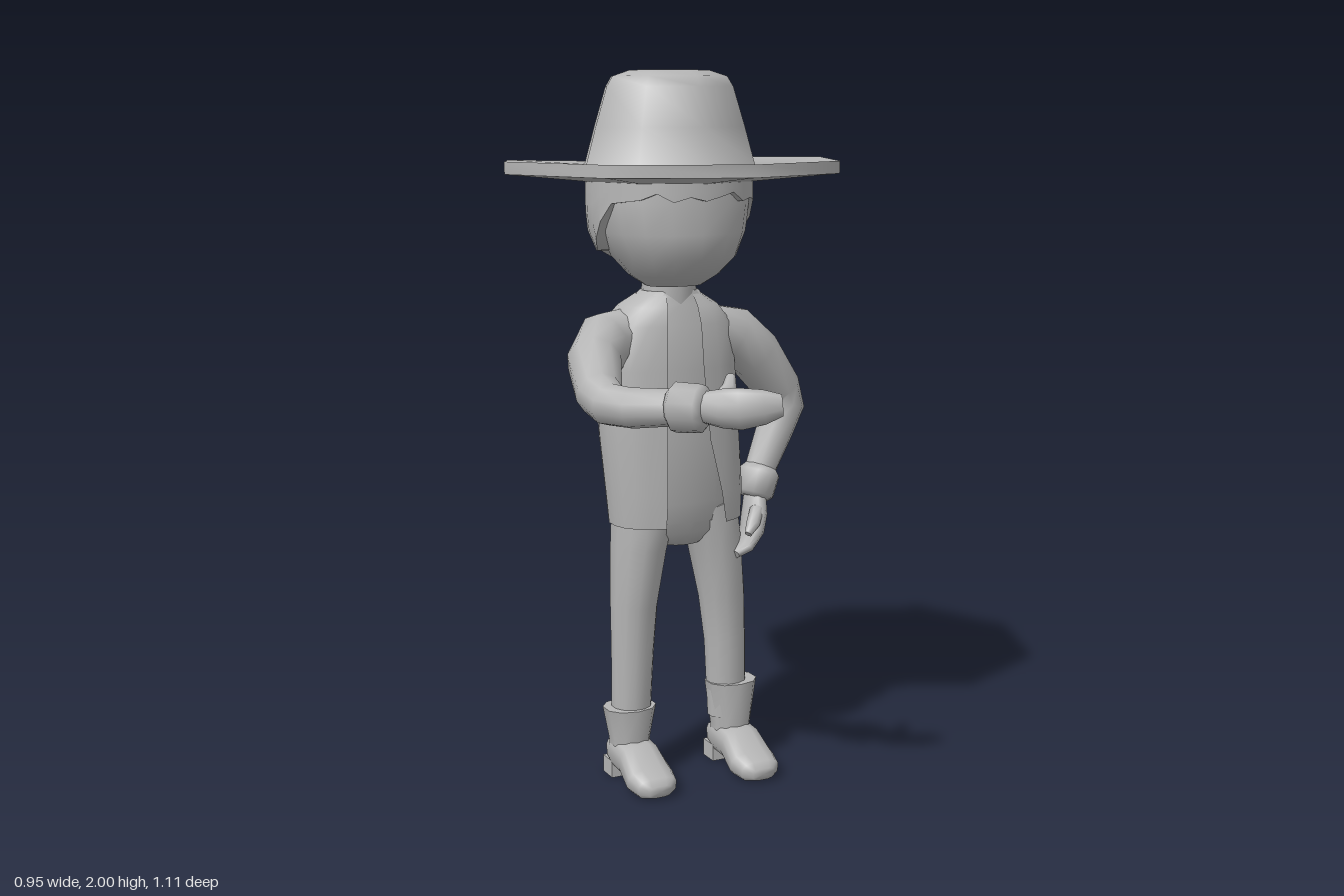
import * as THREE from 'three';
import { mergeVertices, toCreasedNormals } from 'three/addons/utils/BufferGeometryUtils.js';

const clay = new THREE.MeshStandardMaterial({ color: 0xb6b6b6, side: THREE.DoubleSide });
clay.name = 'grey clay';

const V = (x, y, z) => new THREE.Vector3(x, y, z);
const pow = (s, p) => Math.sign(s) * Math.abs(s) ** p;

function part(group, name, geo, crease = 1.15) {
  const mesh = new THREE.Mesh(toCreasedNormals(geo, crease), clay);
  mesh.name = name;
  group.add(mesh);
  return mesh;
}

// Skin a list of rings (arrays of Vector3, counter-clockwise about the loft direction)
function loft(rings, { closed = true, caps = true } = {}) {
  const n = rings[0].length, pos = [], idx = [];
  rings.forEach(r => r.forEach(p => pos.push(p.x, p.y, p.z)));
  for (let i = 0; i < rings.length - 1; i++) {
    for (let j = 0; j < (closed ? n : n - 1); j++) {
      const a = i * n + j, b = i * n + (j + 1) % n;
      idx.push(a, b, b + n, a, b + n, a + n);
    }
  }
  if (caps) {
    [0, rings.length - 1].forEach((r, end) => {
      const c = rings[r].reduce((s, p) => s.add(p), V(0, 0, 0)).divideScalar(n);
      const k = pos.length / 3;
      pos.push(c.x, c.y, c.z);
      for (let j = 0; j < n; j++) {
        const a = r * n + j, b = r * n + (j + 1) % n;
        idx.push(k, end ? a : b, end ? b : a);
      }
    });
  }
  const g = new THREE.BufferGeometry();
  g.setAttribute('position', new THREE.Float32BufferAttribute(pos, 3));
  g.setIndex(idx);
  return g;
}

// Horizontal rings: rows of [y, centre x, centre z, radius x, radius z]
function stack(rows, n = 14, p = 1) {
  return loft(rows.map(([y, cx, cz, rx, rz]) => Array.from({ length: n }, (_, j) => {
    const a = j / n * Math.PI * 2;
    return V(cx + rx * pow(Math.sin(a), p), y, cz + rz * pow(Math.cos(a), p));
  })));
}

// Tube along points [x, y, z, radius a, radius b]
function limb(rows, { hint = V(0, 0, 1), n = 10, p = 1 } = {}) {
  const pts = rows.map(r => V(r[0], r[1], r[2]));
  return loft(rows.map((r, i) => {
    const t = pts[Math.min(i + 1, pts.length - 1)].clone().sub(pts[Math.max(i - 1, 0)]).normalize();
    const s = t.clone().cross(hint).normalize(), o = t.clone().cross(s);
    return Array.from({ length: n }, (_, j) => {
      const a = (j + 0.5) / n * Math.PI * 2;
      return pts[i].clone().addScaledVector(s, r[3] * pow(Math.cos(a), p))
        .addScaledVector(o, (r[4] ?? r[3]) * pow(Math.sin(a), p));
    });
  }));
}

function buildHat(g) {
  const profile = [[0, 1.705], [0.22, 1.705], [0.475, 1.73], [0.475, 1.763], [0.26, 1.735],
    [0.243, 1.752], [0.215, 1.85], [0.182, 1.955], [0.165, 1.982], [0.115, 1.998], [0, 2]];
  let geo = new THREE.LatheGeometry(profile.map(q => new THREE.Vector2(...q)), 8);
  geo.deleteAttribute('normal');
  geo.deleteAttribute('uv');
  geo = mergeVertices(geo);
  // the brim droops a little at the back
  const pos = geo.attributes.position;
  for (let i = 0; i < pos.count; i++) {
    const z = pos.getZ(i);
    if (z < -0.25 && pos.getY(i) < 1.8) pos.setY(i, pos.getY(i) - (-z - 0.25) * 0.09);
  }
  geo.translate(0, 0, -0.08);
  part(g, 'hat', geo, 1.3);
}

function buildHead(g) {
  part(g, 'neck', stack([[1.36, 0, -0.085, 0.085, 0.08], [1.42, 0, -0.08, 0.075, 0.075], [1.52, 0, -0.08, 0.085, 0.08]], 12));
  part(g, 'head', stack([
    [1.425, 0, -0.05, 0.08, 0.06], [1.455, 0, -0.05, 0.125, 0.11], [1.505, 0, -0.05, 0.168, 0.168],
    [1.57, 0, -0.055, 0.198, 0.18], [1.65, 0, -0.06, 0.212, 0.186], [1.74, 0, -0.06, 0.205, 0.18]], 16, 0.92));

  // Hair shell whose lower edge runs from the fringe down to the nape
  const edge = [[0, 1.672], [0.6, 1.668], [1.2, 1.652], [1.5, 1.57], [1.8, 1.515], [2.2, 1.52], [2.7, 1.475], [3.15, 1.465]];
  const edgeAt = a => {
    const k = edge.findIndex(e => e[0] > a), [a0, y0] = edge[k - 1], [a1, y1] = edge[k];
    return y0 + (y1 - y0) * (a - a0) / (a1 - a0);
  };
  const n = 32;
  const row = (t, inset) => Array.from({ length: n }, (_, j) => {
    const a = j / n * Math.PI * 2, b = Math.min(a, Math.PI * 2 - a);
    const low = edgeAt(b) + (b < 0.9 ? (j % 3 - 1) * 0.012 : 0);
    const y = 1.74 + (low - 1.74) * t;
    const f = (y > 1.6 ? 1 : 1 - 0.28 * ((1.6 - y) / 0.14) ** 1.5) - inset;
    return V(0.23 * f * Math.sin(a), y, -0.075 + 0.222 * f * Math.cos(a));
  });
  part(g, 'hair', loft([row(1, 0.15), row(1, 0), row(0.75, 0), row(0.5, 0), row(0.25, 0), row(0, 0)], { caps: false }), 0.9);
}

function buildTorso(g) {
  part(g, 'shirt', stack([
    [0.76, 0.03, -0.1, 0.17, 0.09], [0.82, 0.025, -0.1, 0.18, 0.108], [1.0, 0.01, -0.1, 0.187, 0.117],
    [1.2, 0, -0.1, 0.187, 0.12], [1.32, 0, -0.09, 0.165, 0.1], [1.375, 0, -0.085, 0.115, 0.08],
    [1.41, 0, -0.08, 0.08, 0.068]], 16, 0.85));

  // Open vest: [y, cx, cz, rx, rz, left opening angle, right opening angle]
  const rows = [[0.76, 0.024, -0.09, 0.195, 0.125, 0.5, 0.38], [0.85, 0.02, -0.09, 0.2, 0.13, 0.4, 0.34],
    [1.0, 0.01, -0.098, 0.203, 0.135, 0.25, 0.28], [1.2, 0, -0.105, 0.202, 0.14, 0.2, 0.24],
    [1.32, 0, -0.095, 0.185, 0.122, 0.2, 0.24], [1.37, 0, -0.087, 0.14, 0.1, 0.25, 0.28], [1.4, 0, -0.085, 0.09, 0.076, 0.4, 0.4]];
  part(g, 'vest', loft(rows.map(([y, cx, cz, rx, rz, l, r]) => Array.from({ length: 21 }, (_, j) => {
    const a = l + (Math.PI * 2 - l - r) * j / 20;
    return V(cx + rx * pow(Math.sin(a), 0.85), y, cz + rz * pow(Math.cos(a), 0.85));
  })), { closed: false, caps: false }));
}

function buildLegs(g) {
  part(g, 'hips', stack([[0.69, 0.036, -0.1, 0.07, 0.06], [0.73, 0.034, -0.1, 0.15, 0.085], [0.82, 0.03, -0.1, 0.175, 0.1]], 14));
  const legs = [
    ['right', [[-0.07, 0.8, -0.1, 0.092, 0.095], [-0.085, 0.69, -0.103, 0.08, 0.09], [-0.098, 0.52, -0.108, 0.068, 0.07],
      [-0.102, 0.38, -0.11, 0.062, 0.06], [-0.106, 0.15, -0.115, 0.056, 0.055]], -0.111, -0.016, 0.217],
    ['left', [[0.125, 0.8, -0.1, 0.092, 0.095], [0.152, 0.69, -0.1, 0.078, 0.09], [0.178, 0.52, -0.1, 0.068, 0.07],
      [0.19, 0.38, -0.1, 0.062, 0.058], [0.197, 0.15, -0.098, 0.058, 0.052]], 0.209, 0, 0.253],
  ];
  for (const [side, path, cx, dz, top] of legs) {
    part(g, side + 'Leg', limb(path, { n: 12 }));
    const boot = new THREE.Group();
    boot.name = side + 'Boot';
    boot.position.set(cx, 0, dz);
    part(boot, 'bootShaft', stack([[0.06, 0, -0.1, 0.056, 0.055], [0.12, 0, -0.098, 0.058, 0.058],
      [top, -0.002, -0.094, 0.077, 0.065]], 10, 0.9));
    // foot sections run from heel to toe
    part(boot, 'bootFoot', limb([[0, 0.068, -0.162, 0.045, 0.035], [0, 0.078, -0.11, 0.06, 0.05], [0, 0.073, -0.035, 0.062, 0.048],
      [0, 0.038, 0.035, 0.07, 0.038], [0, 0.03, 0.085, 0.06, 0.03], [0, 0.026, 0.108, 0.035, 0.018]],
    { hint: V(0, 1, 0), n: 12, p: 0.65 }));
    part(boot, 'bootHeel', new THREE.BoxGeometry(0.105, 0.05, 0.062).translate(0, 0.025, -0.137));
    g.add(boot);
  }
}

function buildArms(g) {
  const up = V(0, 1, 0), across = V(1, 0, 0);
  // left arm, hand resting by the hip
  part(g, 'leftArm', limb([[0.12, 1.29, -0.085, 0.075], [0.2, 1.27, -0.085, 0.085, 0.075], [0.275, 1.21, -0.085, 0.078, 0.068],
    [0.365, 1.1, -0.1, 0.066, 0.055], [0.38, 1.055, -0.1, 0.064, 0.052], [0.345, 0.985, -0.09, 0.056, 0.05], [0.275, 0.85, -0.07, 0.043]]));
  part(g, 'leftCuff', limb([[0.295, 0.885, -0.075, 0.046], [0.288, 0.87, -0.073, 0.06], [0.267, 0.81, -0.065, 0.056], [0.262, 0.798, -0.063, 0.04]]));
  part(g, 'leftHand', limb([[0.268, 0.82, -0.065, 0.035, 0.03], [0.255, 0.755, -0.045, 0.052, 0.033], [0.242, 0.71, -0.035, 0.052, 0.03],
    [0.215, 0.667, -0.03, 0.042, 0.022], [0.18, 0.648, -0.025, 0.028, 0.013]], { hint: across }));
  part(g, 'leftThumb', limb([[0.25, 0.775, -0.02, 0.02], [0.222, 0.74, 0.008, 0.02], [0.2, 0.715, 0.02, 0.011]], { n: 7 }));

  // right arm, bent forward with the hand across the chest
  part(g, 'rightArm', limb([[-0.12, 1.29, -0.09, 0.075], [-0.2, 1.275, -0.07, 0.08, 0.085], [-0.26, 1.235, 0.0, 0.075, 0.08],
    [-0.3, 1.17, 0.12, 0.062, 0.065], [-0.298, 1.152, 0.18, 0.06, 0.056], [-0.265, 1.15, 0.245, 0.053], [-0.17, 1.165, 0.375, 0.046]], { hint: up }));
  part(g, 'rightCuff', limb([[-0.2, 1.162, 0.34, 0.05], [-0.192, 1.163, 0.35, 0.065], [-0.148, 1.165, 0.405, 0.062], [-0.14, 1.165, 0.416, 0.045]], { hint: up }));
  part(g, 'rightHand', limb([[-0.158, 1.168, 0.395, 0.032, 0.036], [-0.115, 1.17, 0.455, 0.034, 0.05], [-0.085, 1.172, 0.49, 0.03, 0.053],
    [-0.035, 1.178, 0.522, 0.024, 0.044], [0.006, 1.182, 0.539, 0.013, 0.028]], { hint: up }));
  part(g, 'rightThumb', limb([[-0.12, 1.19, 0.445, 0.02], [-0.085, 1.215, 0.432, 0.02], [-0.07, 1.243, 0.412, 0.012]], { hint: across, n: 7 }));
}

export function createModel() {
  const model = new THREE.Group();
  model.name = 'figure in wide hat';
  [buildHat, buildHead, buildTorso, buildLegs, buildArms].forEach(build => build(model));
  return model;
}
